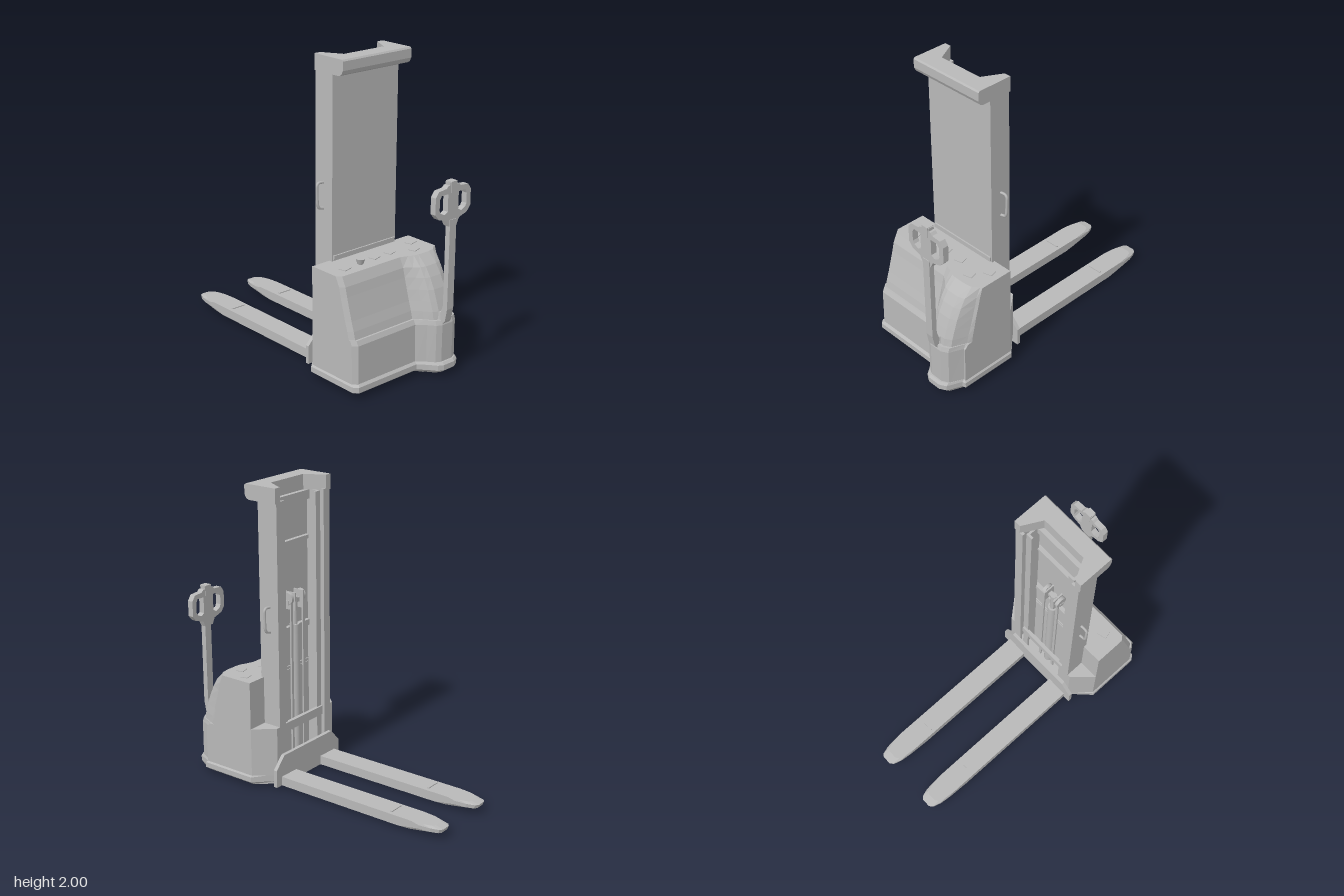
import * as THREE from 'three';

export function createModel() {
  const model = new THREE.Group();
  model.name = 'palletStacker';
  const grey = new THREE.MeshStandardMaterial({ color: 0xb8b8b8 });
  grey.name = 'machine grey';

  function add(name, geometry, x = 0, y = 0, z = 0) {
    const m = new THREE.Mesh(geometry, grey);
    m.name = name;
    m.position.set(x, y, z);
    model.add(m);
    return m;
  }
  // box given by its extents
  function box(name, x0, x1, y0, y1, z0, z1) {
    return add(name, new THREE.BoxGeometry(x1 - x0, y1 - y0, z1 - z0),
      (x0 + x1) / 2, (y0 + y1) / 2, (z0 + z1) / 2);
  }
  // loft of plan outlines [[x, z], ...] stacked upward, closed at both ends
  function loft(layers) {
    const out = [];
    const put = (layer, i) => out.push(layer.pts[i][0], layer.y, layer.pts[i][1]);
    for (let l = 0; l + 1 < layers.length; l++) {
      const lo = layers[l], hi = layers[l + 1], n = lo.pts.length;
      for (let i = 0; i < n; i++) {
        const j = (i + 1) % n;
        put(lo, i); put(lo, j); put(hi, j);
        put(lo, i); put(hi, j); put(hi, i);
      }
    }
    const cap = (layer, up) => {
      const flat = layer.pts.map(([x, z]) => new THREE.Vector2(x, -z));
      for (const [a, b, c] of THREE.ShapeUtils.triangulateShape(flat, [])) {
        put(layer, a); put(layer, up ? b : c); put(layer, up ? c : b);
      }
    };
    cap(layers[0], false);
    cap(layers[layers.length - 1], true);
    const g = new THREE.BufferGeometry();
    g.setAttribute('position', new THREE.Float32BufferAttribute(out, 3));
    g.computeVertexNormals();
    return g;
  }
  function prism(pts, y0, y1) {
    return loft([{ y: y0, pts }, { y: y1, pts }]);
  }

  // housing: flat front on one side, rounded tiller hump on the other
  const plan = (zf, zb, zs, e = 0, back = 0.43) => [
    [-0.41 - e, back], [-0.41 - e, zf - 0.03], [-0.385 - e, zf], [0.09, zf],
    [0.14, zf + (zb - zf) * 0.45], [0.175, zf + (zb - zf) * 0.85], [0.21, zb], [0.3, zb],
    [0.345, zf + (zb - zf) * 0.8], [0.385, Math.min(zf, zs + 0.04)], [0.4 + e, zs], [0.4 + e, back]];
  add('lowerHousing', loft([
    { y: 0.08, pts: plan(0.82, 0.93, 0.82) },
    { y: 0.34, pts: plan(0.815, 0.93, 0.82) },
    { y: 0.37, pts: plan(0.8, 0.92, 0.79) }]));
  const upper = [[0.36, 0.79, 0.905, 0.76], [0.42, 0.775, 0.895, 0.75], [0.48, 0.755, 0.875, 0.735],
    [0.55, 0.735, 0.85, 0.72], [0.62, 0.715, 0.815, 0.7], [0.68, 0.7, 0.775, 0.685], [0.74, 0.67, 0.71, 0.665]];
  add('upperHousing', loft(upper.map(([y, zf, zb, zs]) => ({ y, pts: plan(zf, zb, zs) }))));

  // base skirt, chamfered towards the mast
  const skirt = (e) => [[-0.28, 0.3], ...plan(0.825 + e, 0.945 + e, 0.82 + e, e), [0.28, 0.3]];
  add('baseSkirt', loft([
    { y: 0.025, pts: skirt(-0.015) }, { y: 0.045, pts: skirt(0.01) },
    { y: 0.08, pts: skirt(0.01) }, { y: 0.095, pts: skirt(-0.005) }]));

  // rear shoulders beside the mast
  add('rightShoulder', prism([[-0.29, 0.3], [-0.41, 0.43], [-0.41, 0.45], [-0.26, 0.45], [-0.26, 0.3]], 0.09, 0.42));
  add('leftShoulder', prism([[0.26, 0.3], [0.26, 0.45], [0.4, 0.45], [0.4, 0.43], [0.29, 0.3]], 0.09, 0.42));

  // wheels below the base
  for (const [x, z] of [[-0.21, 0.62], [0.21, 0.77]]) {
    add('wheel', new THREE.CylinderGeometry(0.06, 0.06, 0.07, 24).rotateZ(Math.PI / 2), x, 0.06, z);
    for (const s of [-1, 1]) {
      box('wheelFrameSide', x + s * 0.06 - 0.005, x + s * 0.06 + 0.005, 0.012, 0.05, z - 0.07, z + 0.07);
    }
  }

  // controls on the top deck
  add('stopButton', new THREE.CylinderGeometry(0.03, 0.018, 0.035, 16), -0.165, 0.7575, 0.59);
  for (const [x, z] of [[-0.29, 0.59], [-0.03, 0.57], [0.1, 0.57], [0.32, 0.53], [0.25, 0.63]]) {
    const p = box('deckPlate', x - 0.03, x + 0.03, 0.738, 0.744, z - 0.025, z + 0.025);
    p.rotation.y = 0.25;
  }

  // mast channels and inner rails, mirrored
  const cx = -0.005;
  for (const s of [-1, 1]) {
    const bar = (name, a, b, y0, y1, z0, z1) =>
      box(name, cx + Math.min(s * a, s * b), cx + Math.max(s * a, s * b), y0, y1, z0, z1);
    bar('mastWeb', 0.245, 0.265, 0.05, 1.91, 0.3, 0.45);
    bar('mastRearFlange', 0.205, 0.25, 0.05, 1.91, 0.3, 0.318);
    bar('mastFrontFlange', 0.205, 0.25, 0.05, 1.91, 0.42, 0.44);
    bar('innerRail', 0.185, 0.2, 0.08, 1.9, 0.325, 0.42);
    bar('innerRailFlange', 0.155, 0.19, 0.08, 1.9, 0.325, 0.34);

    // grab handle on the mast side
    const grab = new THREE.CatmullRomCurve3([[0.262, 1.225], [0.3, 1.228], [0.315, 1.21], [0.312, 1.1],
      [0.3, 1.07], [0.262, 1.06]].map(([x, y]) => new THREE.Vector3(cx + s * x, y, 0.37)), false, 'catmullrom', 0.2);
    add('grabHandle', new THREE.TubeGeometry(grab, 24, 0.009, 8));

    // chain and guide rod next to the lift cylinder
    bar('liftChain', 0.05, 0.07, 0.1, 1.22, 0.355, 0.365);
    bar('pulleyCheek', 0.035, 0.045, 1.15, 1.27, 0.34, 0.42);
    add('chainPulley', new THREE.CylinderGeometry(0.04, 0.04, 0.022, 20).rotateZ(Math.PI / 2), cx + s * 0.06, 1.23, 0.385);
  }
  box('mastFrontSheet', -0.27, 0.26, 0.7, 1.92, 0.438, 0.45);
  box('lowerSheet', -0.26, 0.25, 0.08, 0.72, 0.425, 0.438);
  box('sheetLip', -0.26, 0.25, 0.745, 0.775, 0.445, 0.46);
  box('upperCrossbar', -0.2, 0.19, 1.575, 1.6, 0.41, 0.44);
  box('topCrossbar', -0.2, 0.19, 1.84, 1.9, 0.4, 0.44);
  box('middleCrossbar', -0.2, 0.19, 0.98, 1.02, 0.41, 0.44);
  box('carriageCrossbar', -0.2, 0.19, 0.36, 0.42, 0.31, 0.335);
  add('liftCylinder', new THREE.CylinderGeometry(0.032, 0.032, 0.95, 20), cx, 0.57, 0.385);
  add('liftRod', new THREE.CylinderGeometry(0.02, 0.02, 0.2, 16), cx, 1.13, 0.385);
  box('pulleyYoke', -0.08, 0.07, 1.19, 1.22, 0.37, 0.4);

  // mast cap with a notch at the back and a rounded lower front edge
  const capPlan = (f) => [[-0.28, 0.3], [-0.28, f], [0.27, f], [0.27, 0.3], [0.225, 0.3], [0.155, 0.43],
    [-0.165, 0.43], [-0.235, 0.3]];
  add('mastCap', loft([[1.9, 0.515], [1.91, 0.535], [1.935, 0.548], [1.99, 0.548], [2, 0.54]]
    .map(([y, f]) => ({ y, pts: capPlan(f) }))));

  // fork carriage plate with cut corners
  const plate = new THREE.Shape([[-0.33, 0.02], [0.33, 0.02], [0.33, 0.14], [0.25, 0.225], [-0.25, 0.225],
    [-0.33, 0.14]].map((p) => new THREE.Vector2(...p)));
  add('carriagePlate', new THREE.ExtrudeGeometry(plate, { depth: 0.025, bevelEnabled: false }), 0, 0, 0.275);

  // forks with tapered tips
  const forkPlan = (tip, h = 0.075) => [[-0.03, tip], [-0.05, tip + 0.015], [-h + 0.008, tip + 0.07], [-h, tip + 0.15],
    [-h, 0.28], [h, 0.28], [h, tip + 0.15], [h - 0.008, tip + 0.07], [0.05, tip + 0.015], [0.03, tip]];
  for (const x of [-0.205, 0.205]) {
    add('fork', loft([[0.02, -0.8], [0.045, -0.945], [0.07, -0.955], [0.082, -0.9]]
      .map(([y, t]) => ({ y, pts: forkPlan(t) }))), x);
    box('forkRidge', x - 0.05, x + 0.05, 0.08, 0.088, -0.59, -0.575);
    add('forkRoller', new THREE.CylinderGeometry(0.03, 0.03, 0.08, 20).rotateZ(Math.PI / 2), x, 0.035, -0.66);
  }

  // tiller arm, curved at its foot
  const arm = new THREE.Shape([[0.88, 0.36], [0.92, 0.34], [0.945, 0.37], [0.96, 0.45], [0.96, 1.03], [0.925, 1.03],
    [0.925, 0.47], [0.91, 0.42]].map(([z, y]) => new THREE.Vector2(-z, y)));
  add('tillerArm', new THREE.ExtrudeGeometry(arm, { depth: 0.055, bevelEnabled: false }).rotateY(Math.PI / 2), 0.2125);
  add('tillerPivot', new THREE.CylinderGeometry(0.035, 0.045, 0.06, 16), 0.24, 0.39, 0.88);

  // tiller head with two hand openings
  const half = [[0.035, 0.99], [0.055, 1.03], [0.12, 1.05], [0.15, 1.085], [0.15, 1.19], [0.125, 1.225],
    [0.06, 1.23], [0.045, 1.245], [0.03, 1.245], [0.03, 1.265]];
  const mirror = (pts) => [...pts].reverse().map(([x, y]) => [-x, y]);
  const vec = (pts) => pts.map((p) => new THREE.Vector2(...p));
  const head = new THREE.Shape(vec([...half, ...mirror(half)]));
  const hole = [[0.045, 1.085], [0.07, 1.07], [0.105, 1.085], [0.115, 1.105], [0.115, 1.17], [0.1, 1.195], [0.045, 1.195]];
  head.holes.push(new THREE.Path(vec(hole)), new THREE.Path(vec(mirror(hole))));
  add('tillerHead', new THREE.ExtrudeGeometry(head, { depth: 0.04, bevelEnabled: false }), 0.24, 0, 0.915);
  box('tillerKnob', 0.215, 0.265, 1.2, 1.268, 0.912, 0.96);

  return model;
}
